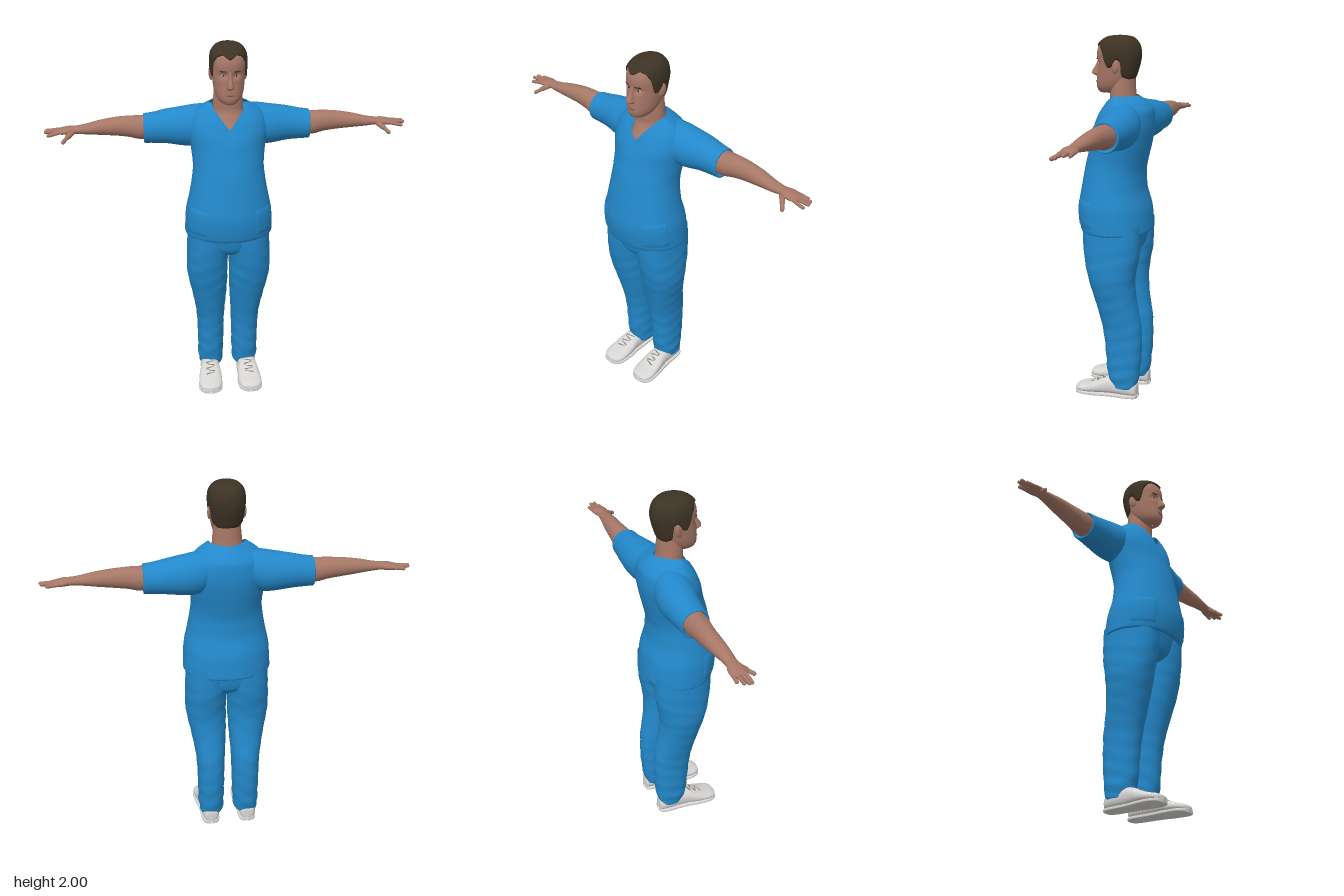
import * as THREE from 'three';

const mat = (name, color, side = THREE.FrontSide) => {
  const m = new THREE.MeshStandardMaterial({ color, side });
  m.name = name;
  return m;
};

// Smooth interpolation of profile rows without overshoot; u runs over row indices
function rowAt(rows, u) {
  const last = rows.length - 1;
  const i = Math.min(Math.floor(u), last - 1), t = u - i;
  const slope = (k, c) => {
    if (k <= 0 || k >= last) return 0;
    const a = rows[k][c] - rows[k - 1][c], b = rows[k + 1][c] - rows[k][c];
    return a * b <= 0 ? 0 : (2 * a * b) / (a + b);
  };
  return rows[0].map((_, c) => {
    const p = rows[i][c], q = rows[i + 1][c], m = slope(i, c), n = slope(i + 1, c);
    const t2 = t * t, t3 = t2 * t;
    return (2 * t3 - 3 * t2 + 1) * p + (t3 - 2 * t2 + t) * m + (3 * t2 - 2 * t3) * q + (t3 - t2) * n;
  });
}

// Row position where the first column reaches a value
function uOf(rows, value) {
  let lo = 0, hi = rows.length - 1;
  for (let k = 0; k < 30; k++) {
    const mid = (lo + hi) / 2;
    if (rowAt(rows, mid)[0] < value) lo = mid; else hi = mid;
  }
  return lo;
}

// Row: [along, sideCentre, halfWidth, depthFront, depthBack, roundness, neckDip]
function ringPoint(row, th, off = 0) {
  const [a, c, w, f, b, n, dip] = row;
  const pw = (v) => Math.sign(v) * Math.abs(v) ** (2 / n);
  const sx = pw(Math.sin(th)), sz = pw(Math.cos(th));
  const drop = Math.cos(th) > 0 ? dip * (1 - Math.abs(sx)) : 0;
  return [c + (w + off) * sx, a - drop, (f + b) / 2 + ((f - b) / 2 + off) * sz];
}

// Surface from a function of (u, v) in 0..1; v wraps when closed
function grid(nu, nv, fn, closed = true, flip = false) {
  const pos = [], idx = [], cols = closed ? nv : nv + 1;
  for (let i = 0; i <= nu; i++) for (let j = 0; j < cols; j++) pos.push(...fn(i / nu, j / nv));
  for (let i = 0; i < nu; i++) for (let j = 0; j < nv; j++) {
    const k = (j + 1) % cols;
    const a = i * cols + j, b = i * cols + k, c = b + cols, d = a + cols;
    if (flip) idx.push(a, c, b, a, d, c); else idx.push(a, b, c, a, c, d);
  }
  const g = new THREE.BufferGeometry();
  g.setAttribute('position', new THREE.Float32BufferAttribute(pos, 3));
  g.setIndex(idx);
  g.computeVertexNormals();
  return g;
}

const full = (rows) => rows.map((r) => [...r, ...[2, 0].slice(r.length - 5)]);
const axes = { y: ([s, a, d]) => [s, a, d], x: ([s, a, d]) => [a, s, d], z: ([s, a, d]) => [s, d, a] };

function loft(rows, { axis = 'y', steps = 6, segs = 48, warp = (p) => p } = {}) {
  const R = full(rows), last = R.length - 1;
  return grid(last * steps, segs,
    (u, v) => warp(axes[axis](ringPoint(rowAt(R, u * last), v * Math.PI * 2))), true, axis !== 'y');
}

function mirrored(geo) {
  const g = geo.clone().scale(-1, 1, 1), ix = g.index.array;
  for (let i = 0; i < ix.length; i += 3) [ix[i], ix[i + 1]] = [ix[i + 1], ix[i]];
  return g;
}

function rod(from, to, r) {
  const a = new THREE.Vector3(...from), b = new THREE.Vector3(...to), d = b.clone().sub(a);
  const g = new THREE.CapsuleGeometry(r, d.length(), 5, 12);
  g.applyQuaternion(new THREE.Quaternion().setFromUnitVectors(new THREE.Vector3(0, 1, 0), d.clone().normalize()));
  return g.translate(...a.add(b).multiplyScalar(0.5).toArray());
}

const blob = (x, y, z, rx, ry, rz) => new THREE.SphereGeometry(1, 20, 14).scale(rx, ry, rz).translate(x, y, z);

export function createModel() {
  const model = new THREE.Group();
  model.name = 'standingFigure';
  const cloth = mat('blue cloth', 0x2388ca, THREE.DoubleSide), skin = mat('skin', 0xa67766);
  const hairMat = mat('dark brown hair', 0x3d3325), shoeMat = mat('pale shoe', 0xd6d5d3);
  const laceMat = mat('grey lace', 0x85837f), lipMat = mat('lip', 0x8f5f53);
  const eyeMat = mat('eye white', 0xc9c0b8), irisMat = mat('iris', 0x2c2420);
  const add = (name, geo, m) => {
    const mesh = new THREE.Mesh(geo, m);
    mesh.name = name;
    model.add(mesh);
  };
  const pair = (name, geo, m) => {
    add(name + 'Left', geo, m);
    add(name + 'Right', mirrored(geo), m);
  };

  // Shirt body with a V neck
  const shirt = full([
    [0.975, 0, 0.2, 0.14, -0.16, 2.1], [0.95, 0, 0.232, 0.178, -0.195, 2.1], [0.962, 0, 0.24, 0.188, -0.2, 2.1],
    [1.07, 0, 0.235, 0.203, -0.19, 2.1], [1.19, 0, 0.212, 0.186, -0.159, 2.1], [1.27, 0, 0.198, 0.172, -0.156, 2.1],
    [1.34, 0, 0.191, 0.158, -0.168, 2.1], [1.44, 0, 0.2, 0.13, -0.19, 2.1], [1.53, 0, 0.213, 0.115, -0.202, 2.1, 0.04],
    [1.6, 0, 0.2, 0.1, -0.198, 2, 0.075], [1.65, 0, 0.155, 0.092, -0.165, 1.8, 0.11],
    [1.685, 0, 0.1, 0.085, -0.125, 1.5, 0.13],
  ]);
  add('shirtBody', loft(shirt, { segs: 64 }), cloth);

  // Sleeves with a turned-in hem
  pair('sleeve', loft([
    [0.08, 1.56, 0.095, -0.01, -0.165], [0.17, 1.537, 0.113, 0.015, -0.19], [0.24, 1.532, 0.106, 0.01, -0.195],
    [0.32, 1.531, 0.094, -0.008, -0.19], [0.4, 1.525, 0.083, -0.018, -0.18], [0.445, 1.523, 0.079, -0.022, -0.175],
    [0.447, 1.523, 0.072, -0.028, -0.168], [0.42, 1.526, 0.058, -0.045, -0.155],
  ], { axis: 'x' }), cloth);

  // Hip pockets laid just over the shirt
  const p0 = uOf(shirt.slice(1), 0.98) + 1, p1 = uOf(shirt.slice(1), 1.135) + 1;
  pair('shirtPocket', grid(10, 12, (u, v) => {
    const edge = u === 0 || u === 1 || v === 0 || v === 1;
    return ringPoint(rowAt(shirt, p0 + (p1 - p0) * u), 0.55 + 0.75 * v, edge ? -0.002 : 0.004);
  }, false), cloth);

  // Trousers: two legs with soft folds towards the ankle, joined by the seat
  const folds = ([x, y, z]) => {
    const k = 0.004 * Math.max(0.2, 1 - y / 0.35) * (y < 0.9 ? 1 : 0);
    return [x + k * Math.sin(y * 75 + z * 22), y, z + k * Math.sin(y * 62 + x * 30)];
  };
  pair('trouserLeg', loft([
    [0.085, 0.1, 0.04, -0.04, -0.13], [0.058, 0.1, 0.06, -0.012, -0.152], [0.07, 0.1, 0.067, -0.004, -0.158],
    [0.12, 0.1, 0.072, 0.01, -0.166], [0.2, 0.099, 0.074, 0.02, -0.175], [0.3, 0.099, 0.076, 0.028, -0.18],
    [0.4, 0.1, 0.08, 0.042, -0.178], [0.55, 0.107, 0.097, 0.078, -0.152], [0.65, 0.115, 0.109, 0.105, -0.143],
    [0.72, 0.119, 0.114, 0.122, -0.148], [0.8, 0.117, 0.115, 0.138, -0.163], [0.88, 0.112, 0.117, 0.148, -0.172],
    [1.0, 0.105, 0.118, 0.155, -0.175],
  ].map((r) => [...r, 2.2]), { warp: folds, steps: 8 }), cloth);
  add('trouserSeat', loft([
    [0.815, 0, 0.01, 0.02, -0.06, 2.2], [0.835, 0, 0.07, 0.09, -0.12, 2.2], [0.88, 0, 0.16, 0.135, -0.16, 2.2],
    [1.0, 0, 0.222, 0.155, -0.175, 2.2],
  ]), cloth);

  // Arms, palms, fingers and thumbs
  pair('arm', loft([
    [0.38, 1.528, 0.062, -0.04, -0.16], [0.46, 1.528, 0.064, -0.038, -0.162], [0.53, 1.535, 0.057, -0.048, -0.156],
    [0.6, 1.537, 0.05, -0.054, -0.15], [0.68, 1.535, 0.04, -0.054, -0.14], [0.76, 1.53, 0.027, -0.056, -0.126],
    [0.81, 1.528, 0.021, -0.06, -0.122], [0.85, 1.526, 0.02, -0.05, -0.134], [0.89, 1.522, 0.015, -0.054, -0.136],
    [0.906, 1.521, 0.007, -0.064, -0.127], [0.908, 1.521, 0.001, -0.09, -0.1],
  ], { axis: 'x', segs: 32 }), skin);
  [[-0.065, 0.952, -0.062, 1.508], [-0.085, 0.966, -0.084, 1.521], [-0.106, 0.96, -0.107, 1.523], [-0.125, 0.932, -0.129, 1.518]]
    .forEach(([z, tipX, tipZ, tipY], i) =>
      pair('finger' + (i + 1), rod([0.885, 1.523, z], [tipX, tipY, tipZ], 0.0095), skin));
  pair('thumbBase', rod([0.825, 1.52, -0.068], [0.85, 1.505, -0.038], 0.014), skin);
  pair('thumb', rod([0.85, 1.505, -0.038], [0.873, 1.487, -0.008], 0.0105), skin);

  // Neck and upper chest
  add('neck', loft([
    [1.52, 0, 0.085, 0.075, -0.1], [1.555, 0, 0.088, 0.08, -0.11], [1.6, 0, 0.087, 0.055, -0.114],
    [1.65, 0, 0.082, 0.033, -0.11], [1.7, 0, 0.078, 0.034, -0.104], [1.78, 0, 0.07, 0.02, -0.1],
  ]), skin);

  // Head with sunken eye sockets
  const head = full([
    [1.692, 0, 0.002, 0.06, 0.05], [1.696, 0, 0.03, 0.092, 0.0], [1.71, 0, 0.053, 0.106, -0.03],
    [1.735, 0, 0.069, 0.112, -0.06, 2.1], [1.77, 0, 0.079, 0.11, -0.09, 2.2], [1.81, 0, 0.084, 0.107, -0.105, 2.2],
    [1.855, 0, 0.087, 0.106, -0.118, 2.2], [1.9, 0, 0.09, 0.108, -0.125, 2.2], [1.94, 0, 0.087, 0.1, -0.12, 2.1],
    [1.97, 0, 0.069, 0.07, -0.1], [1.986, 0, 0.043, 0.033, -0.072], [1.992, 0, 0.001, -0.018, -0.02],
  ]);
  const sockets = ([x, y, z]) => {
    const d = ((Math.abs(x) - 0.034) / 0.02) ** 2 + ((y - 1.853) / 0.014) ** 2;
    return [x, y, z > 0 ? z - 0.012 * Math.exp(-d) : z];
  };
  add('head', loft(head, { warp: sockets, steps: 8, segs: 64 }), skin);
  const faceZ = (x, y) => {
    const [, , w, f, b, n] = rowAt(head, uOf(head, y));
    return sockets([x, y, (f + b) / 2 + ((f - b) / 2) * (1 - (Math.abs(x) / w) ** n) ** (1 / n)])[2];
  };

  // Face details
  add('nose', loft([
    [1.778, 0, 0.004, 0.108, 0.085], [1.785, 0, 0.016, 0.126, 0.08], [1.797, 0, 0.02, 0.143, 0.08],
    [1.808, 0, 0.017, 0.142, 0.08], [1.84, 0, 0.011, 0.122, 0.08], [1.875, 0, 0.01, 0.107, 0.08],
  ], { segs: 24 }), skin);
  pair('eye', blob(0.034, 1.853, faceZ(0.034, 1.853), 0.013, 0.0055, 0.004), eyeMat);
  pair('iris', blob(0.034, 1.853, faceZ(0.034, 1.853) + 0.002, 0.005, 0.005, 0.004), irisMat);
  pair('eyebrow', blob(0, 0, 0, 0.02, 0.0035, 0.004).rotateY(0.35).translate(0.036, 1.876, faceZ(0.036, 1.876)), hairMat);
  add('lips', blob(0, 1.753, faceZ(0, 1.753), 0.023, 0.006, 0.005), lipMat);
  pair('ear', blob(0, 0, 0, 0.01, 0.036, 0.022).rotateX(-0.15).rotateY(-0.3).translate(0.09, 1.838, -0.022), skin);

  // Hair: a shell over the head that starts at a hairline given by [degrees, height]
  const line = [[0, 1.933], [25, 1.953], [45, 1.943], [62, 1.91], [70, 1.855], [78, 1.828], [88, 1.832],
    [97, 1.875], [108, 1.865], [118, 1.79], [140, 1.767], [180, 1.757]];
  const hairline = (deg) => {
    const i = Math.max(1, line.findIndex((p) => p[0] >= deg - 1e-6));
    const [a, b] = [line[i - 1], line[i]];
    return THREE.MathUtils.lerp(a[1], b[1], Math.min(1, (deg - a[0]) / (b[0] - a[0])));
  };
  add('hair', grid(32, 96, (u, v) => {
    const deg = Math.min(v, 1 - v) * 360;
    const start = uOf(head, hairline(deg));
    const row = rowAt(head, start + (head.length - 1 - start) * u);
    const off = u === 0 ? -0.003 : 0.0095 * Math.min(1, 0.6 + u * 4) * (1 - u ** 8);
    row[0] += 0.008 * THREE.MathUtils.smoothstep(row[0], 1.93, 1.99);
    return ringPoint(row, v * Math.PI * 2, off);
  }), hairMat);

  // Shoes, soles and laces
  const shoe = full([
    [-0.162, 0.106, 0.002, 0.05, 0.03], [-0.16, 0.106, 0.025, 0.075, 0.012], [-0.145, 0.106, 0.042, 0.092, 0.008],
    [-0.1, 0.107, 0.05, 0.107, 0.008], [-0.03, 0.108, 0.052, 0.115, 0.008], [0.02, 0.11, 0.056, 0.106, 0.008],
    [0.07, 0.112, 0.064, 0.083, 0.008], [0.13, 0.115, 0.067, 0.061, 0.008], [0.17, 0.116, 0.058, 0.051, 0.008],
    [0.192, 0.117, 0.036, 0.041, 0.01], [0.198, 0.117, 0.002, 0.03, 0.02],
  ].map((r) => [...r, 2.4]));
  pair('shoe', loft(shoe, { axis: 'z', segs: 40 }), shoeMat);
  pair('sole', loft(shoe.map(([z, c, w]) => [z * 1.01, c, w * 1.03, 0.02, 0, 5]), { axis: 'z', segs: 40 }), shoeMat);
  for (let i = 0; i < 5; i++) {
    const z = 0.022 + i * 0.018, [, c, , top] = rowAt(shoe, uOf(shoe, z)), s = i % 2 ? 0.006 : -0.006;
    pair('lace' + (i + 1), rod([c - 0.022, top - 0.002, z + s], [c + 0.022, top - 0.002, z - s], 0.0035), laceMat);
  }
  return model;
}
